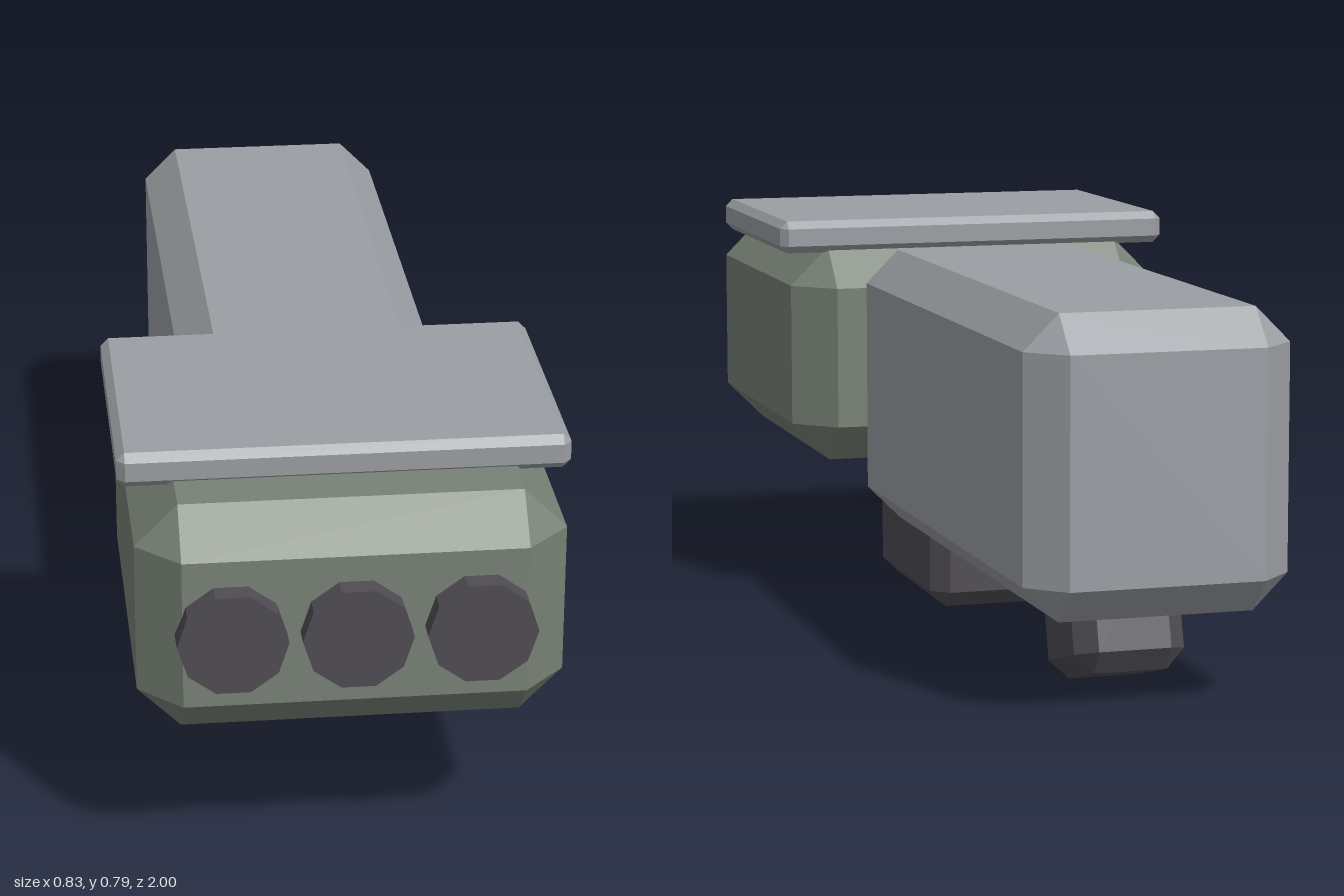
import * as THREE from 'three';
import { ConvexGeometry } from 'three/addons/geometries/ConvexGeometry.js';

// Box with chamfered edges and corners, centred on the origin
function chamferBox(w, h, d, c) {
  const pts = [];
  for (const sx of [-1, 1]) for (const sy of [-1, 1]) for (const sz of [-1, 1]) {
    for (const [a, b, e] of [[0, c, c], [c, 0, c], [c, c, 0]]) {
      pts.push(new THREE.Vector3(sx * (w / 2 - a), sy * (h / 2 - b), sz * (d / 2 - e)));
    }
  }
  return new ConvexGeometry(pts);
}

export function createModel() {
  const mat = (name, color) => {
    const m = new THREE.MeshStandardMaterial({ color, flatShading: true });
    m.name = name;
    return m;
  };
  const grey = mat('steelGrey', 0x9b9ea3);
  const green = mat('oliveGreen', 0x788276);
  const dark = mat('darkMetal', 0x4f4d53);

  const model = new THREE.Group();
  const add = (name, geometry, material, x, y, z) => {
    const mesh = new THREE.Mesh(geometry, material);
    mesh.name = name;
    mesh.position.set(x, y, z);
    model.add(mesh);
    return mesh;
  };

  // Main blocks
  add('rearBody', chamferBox(0.504, 0.557, 1.23, 0.067), grey, 0, 0.4565, -0.385);
  add('frontHousing', chamferBox(0.78, 0.446, 0.785, 0.079), green, 0, 0.513, 0.566);
  add('topPlate', chamferBox(0.826, 0.066, 0.553, 0.015), grey, 0, 0.758, 0.511);

  // Supports under the body
  add('frontFoot', chamferBox(0.335, 0.202, 0.445, 0.034), dark, 0, 0.121, 0.177);
  const rear = add('rearFoot', chamferBox(0.214, 0.3, 0.236, 0.037), dark, 0, 0.169, -0.675);
  rear.rotation.x = 0.27;

  // Row of three ten-sided nozzles
  const nozzle = new THREE.CylinderGeometry(0.1, 0.1, 0.1, 10, 1, false, Math.PI / 2);
  nozzle.rotateX(Math.PI / 2);
  for (const i of [-1, 0, 1]) add('nozzle', nozzle, dark, i * 0.224, 0.512, 0.95);

  return model;
}
